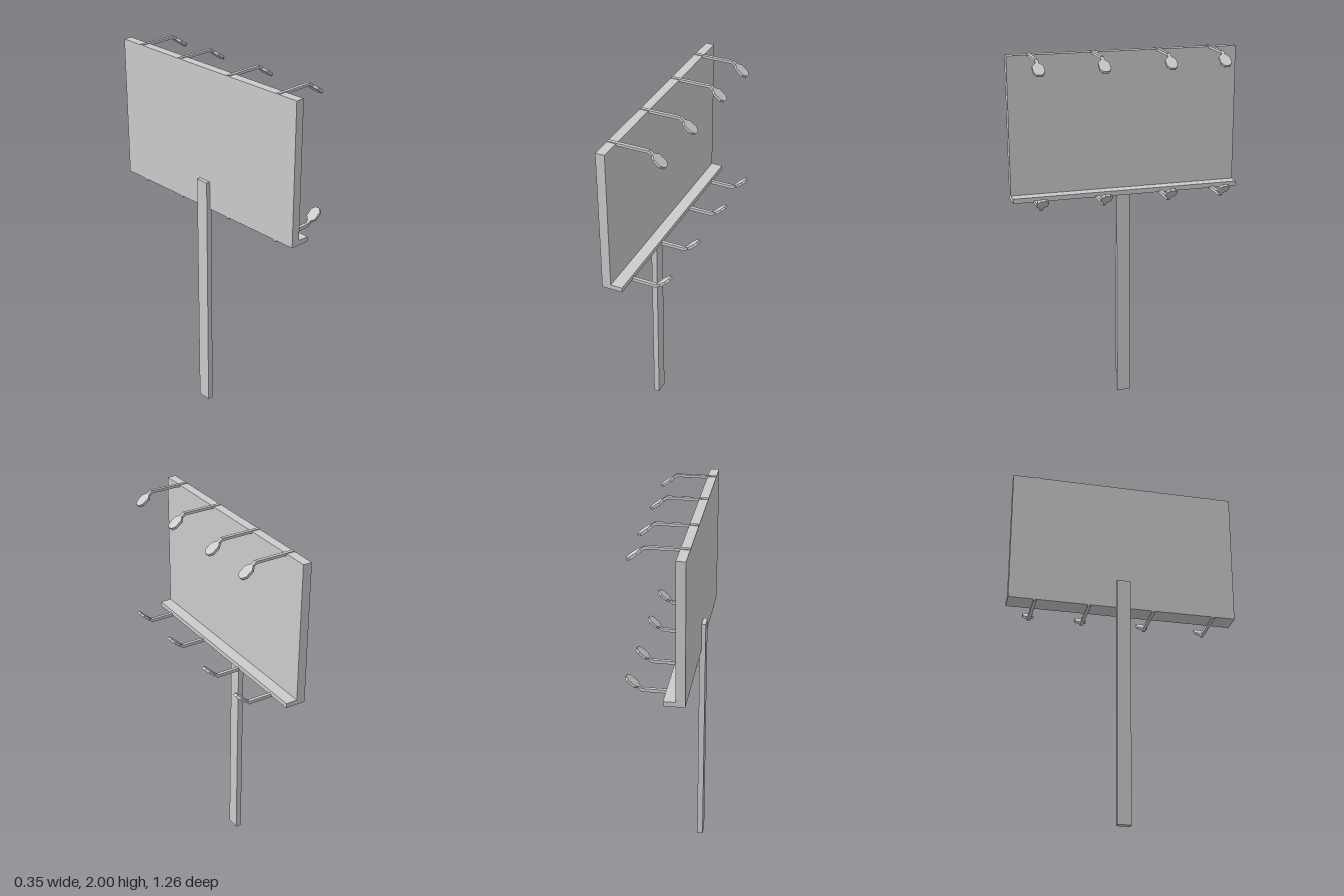
import * as THREE from 'three';

const material = new THREE.MeshStandardMaterial({ color: 0xcccccc, flatShading: true });

// Box given by its min and max corners
function block(name, x0, x1, y0, y1, z0, z1) {
  const mesh = new THREE.Mesh(new THREE.BoxGeometry(x1 - x0, y1 - y0, z1 - z0), material);
  mesh.position.set((x0 + x1) / 2, (y0 + y1) / 2, (z0 + z1) / 2);
  mesh.name = name;
  return mesh;
}

// Lamp head: a narrow neck widening into an eight-sided paddle, running along +x
function headGeometry() {
  const half = [[-0.004, 0.009], [0.022, 0.009], [0.042, 0.03], [0.086, 0.03], [0.105, 0.014]];
  const mirrored = half.map(([s, w]) => [s, -w]).reverse();
  const outline = [...half, ...mirrored].map(([s, w]) => new THREE.Vector2(s, w));
  const depth = 0.014;
  const geometry = new THREE.ExtrudeGeometry(new THREE.Shape(outline), { depth, bevelEnabled: false });
  return geometry.translate(0, 0, -depth / 2).rotateX(Math.PI / 2);
}

// Straight arm with the head bent up or down at its end
function lamp(name, endX, y, thickness, tilt, z, geometry) {
  const group = new THREE.Group();
  group.name = name;
  group.add(block('arm', -0.152, endX, y - thickness / 2, y + thickness / 2, -0.009, 0.009));
  const head = new THREE.Mesh(geometry, material);
  head.name = 'lampHead';
  head.position.set(endX - 0.003, y, 0);
  head.rotation.z = tilt;
  group.add(head);
  group.position.z = z;
  return group;
}

export function createModel() {
  const model = new THREE.Group();
  model.name = 'billboard';

  // Post, panel and bottom ledge
  model.add(block('post', -0.175, -0.143, 0, 1.38, -0.04, 0.034));
  model.add(block('panel', -0.153, -0.105, 1.222, 1.996, -0.632, 0.632));
  model.add(block('ledge', -0.106, -0.042, 1.222, 1.248, -0.632, 0.632));

  // Four lamps above and four below
  const geometry = headGeometry();
  for (const z of [0.51, 0.168, -0.19, -0.487]) {
    model.add(lamp('upperLamp', 0.066, 1.993, 0.014, -0.64, z, geometry));
    model.add(lamp('lowerLamp', 0.09, 1.222, 0.018, 0.71, z, geometry));
  }
  return model;
}
